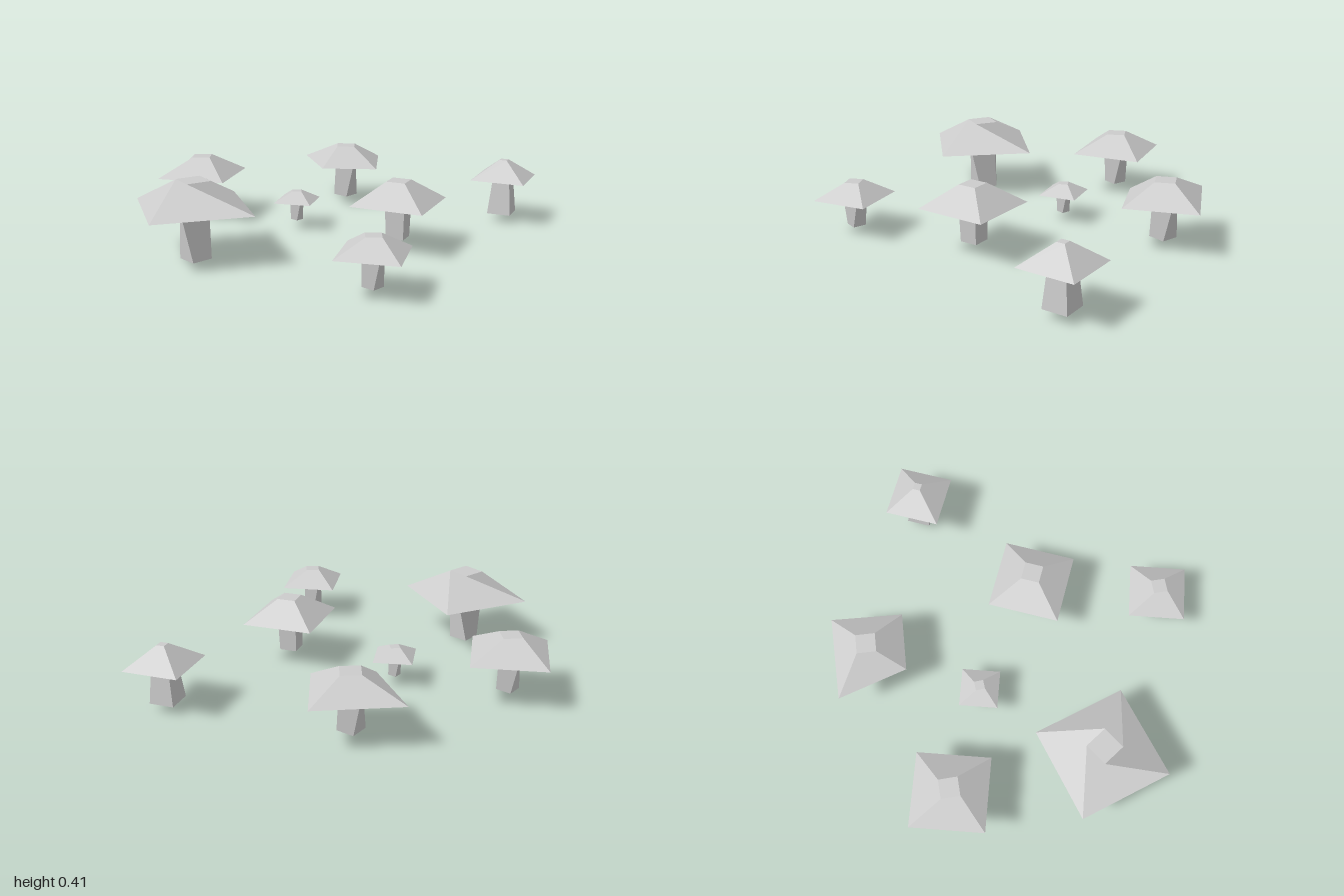
import * as THREE from 'three';

// Four corners of a horizontal square, clockwise from above, starting at the back left.
function ring(cx, cz, half, angle, y) {
  const c = Math.cos(angle), s = Math.sin(angle);
  return [[1, -1], [1, 1], [-1, 1], [-1, -1]].map(([u, v]) =>
    new THREE.Vector3(cx + half * (u * c - v * s), y, cz + half * (u * s + v * c)));
}

// Closed, possibly twisted block between two four-cornered rings, one normal per quad.
function block(name, b, t, material) {
  const positions = [], normals = [];
  const quad = (p, q, r, s) => {
    const n = r.clone().sub(p).cross(s.clone().sub(q)).normalize();
    for (const v of [p, q, r, p, r, s]) {
      positions.push(v.x, v.y, v.z);
      normals.push(n.x, n.y, n.z);
    }
  };
  for (let i = 0; i < 4; i++) {
    const j = (i + 1) % 4;
    quad(b[j], b[i], t[i], t[j]);
  }
  quad(t[0], t[3], t[2], t[1]);
  quad(b[0], b[1], b[2], b[3]);
  const geometry = new THREE.BufferGeometry();
  geometry.setAttribute('position', new THREE.Float32BufferAttribute(positions, 3));
  geometry.setAttribute('normal', new THREE.Float32BufferAttribute(normals, 3));
  const mesh = new THREE.Mesh(geometry, material);
  mesh.name = name;
  return mesh;
}

// y: foot, rim and crown heights; rim, crown, foot, neck: [half width, turn].
const mushrooms = [
  { name: 'largeMushroom', at: [-0.38, 0.62], y: [0, 0.27, 0.41],
    rim: [0.255, -0.73], crown: [0.065, 0.565], foot: [0.057, 0.385], neck: [0.072, 0.98] },
  { name: 'skewedMushroom', at: [-0.137, -0.73], y: [0.045, 0.25, 0.355],
    rim: [0.19, -0.36], crown: [0.052, -0.38], foot: [0.05, 0.3], neck: [0.055, -0.3],
    rimCorners: [[-0.02, -0.98], [0.11, -0.615], [-0.19, -0.5], [-0.44, -0.8]] },
  { name: 'rightMushroom', at: [-0.773, -0.088], y: [0.05, 0.25, 0.355],
    rim: [0.196, -0.18], crown: [0.05, -0.42], foot: [0.043, 0.36], neck: [0.055, -0.18] },
  { name: 'smallMushroom', at: [-0.164, -0.1], y: [0.045, 0.155, 0.21],
    rim: [0.104, -0.18], crown: [0.025, -0.47], foot: [0.024, 0.33], neck: [0.03, -0.18] },
  { name: 'centreMushroom', at: [0.485, 0.025], y: [0.06, 0.25, 0.365],
    rim: [0.195, 0], crown: [0.05, 0], foot: [0.048, 0], neck: [0.053, 0] },
  { name: 'tallMushroom', at: [0.845, -0.737], y: [0.045, 0.25, 0.355],
    rim: [0.15, 0], crown: [0.021, 0], foot: [0.066, 0], neck: [0.047, 0] },
  { name: 'frontMushroom', at: [0.622, 0.717], y: [0.04, 0.2, 0.285],
    rim: [0.153, -0.18], crown: [0.038, -0.42], foot: [0.036, 0.33], neck: [0.044, -0.18] },
];

export function createModel() {
  const group = new THREE.Group();
  group.name = 'mushroomPatch';
  const material = new THREE.MeshStandardMaterial({ color: 0xcccccc });
  for (const m of mushrooms) {
    const [foot, rim, crown] = m.y;
    const level = (size, y) => ring(...m.at, ...size, y);
    const rimRing = m.rimCorners
      ? m.rimCorners.map(([x, z]) => new THREE.Vector3(x, rim, z))
      : level(m.rim, rim);
    const mushroom = new THREE.Group();
    mushroom.name = m.name;
    mushroom.add(
      block('stem', level(m.foot, foot), level(m.neck, rim), material),
      block('cap', rimRing, level(m.crown, crown), material),
    );
    group.add(mushroom);
  }
  return group;
}
